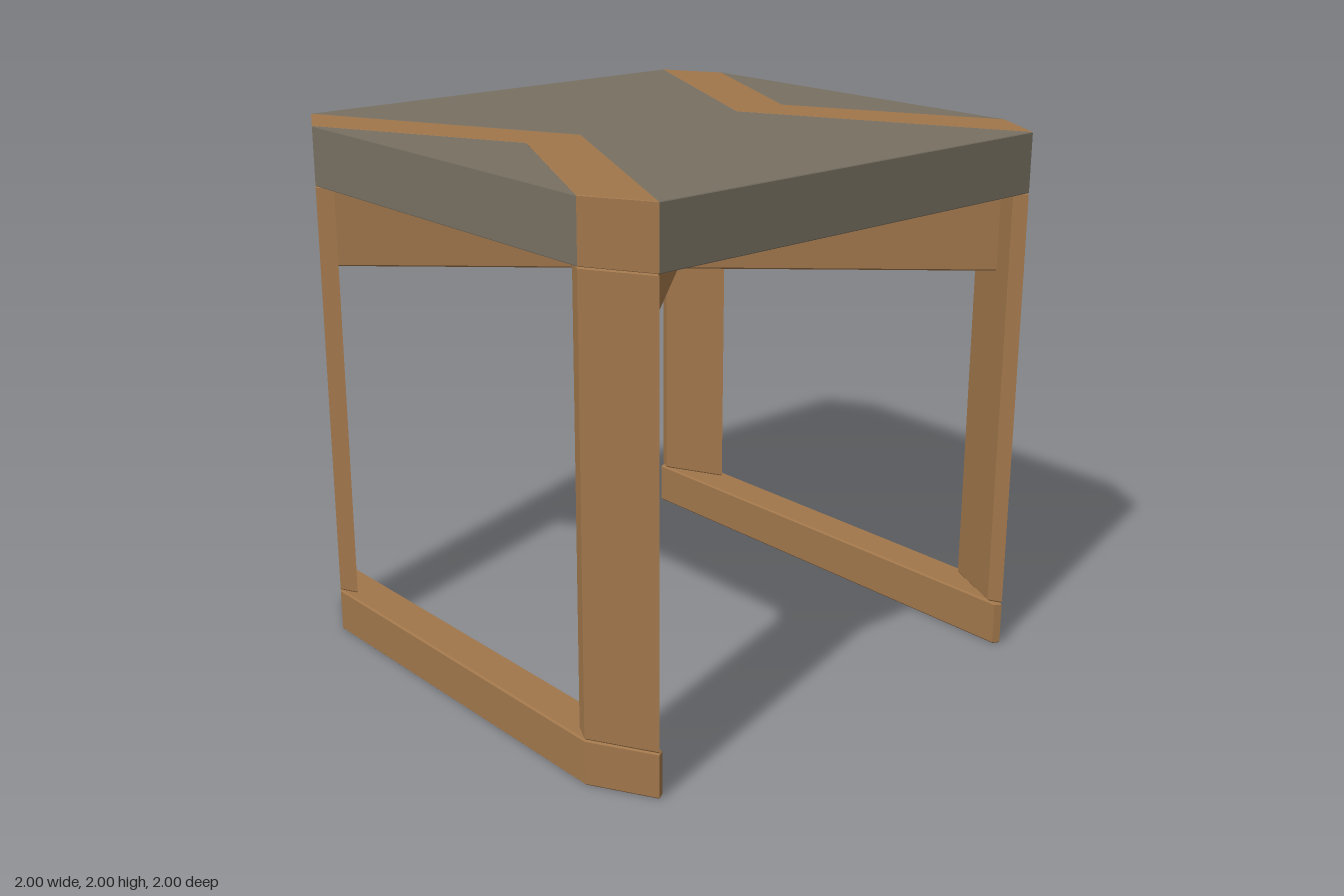
import * as THREE from 'three';

const wood = new THREE.MeshStandardMaterial({ color: 0xa0764b });
wood.name = 'wood';
const grey = new THREE.MeshStandardMaterial({ color: 0x777062 });
grey.name = 'grey seat';

const BEVEL = 0.006;

// Upright prism from a plan outline of [x, z] points, with lightly eased edges
function prism(name, plan, y0, y1, material, bevel = BEVEL) {
  const shape = new THREE.Shape(plan.map(([x, z]) => new THREE.Vector2(x, -z)));
  const geometry = new THREE.ExtrudeGeometry(shape, {
    depth: y1 - y0 - 2 * bevel,
    bevelEnabled: bevel > 0,
    bevelThickness: bevel,
    bevelSize: bevel,
    bevelOffset: -bevel,
    bevelSegments: 1,
  });
  geometry.rotateX(-Math.PI / 2);
  geometry.translate(0, y0 + bevel, 0);
  const mesh = new THREE.Mesh(geometry, material);
  mesh.name = name;
  return mesh;
}

const flip = (plan, sx, sz) => plan.map(([x, z]) => [x * sx, z * sz]);

export function createModel() {
  const model = new THREE.Group();
  model.name = 'stool';

  const runnerTop = 0.17, seatBottom = 1.78, seatTop = 2;

  // Plan outlines for the front left quarter or the front half
  const legPlan = [[0.77, 1], [1, 0.87], [0.95, 0.845], [0.7, 0.965]];
  const runnerPlan = [[-0.77, 1], [0.77, 1], [1, 0.87], [0.985, 0.845], [-0.985, 0.845], [-1, 0.87]];
  const bandPlan = [[-0.77, 1], [0, 0.61], [0.77, 1], [1, 0.87], [0, 0.375], [-1, 0.87]];
  const trianglePlan = [[-0.77, 1], [0.77, 1], [0, 0.61]];

  for (const sz of [1, -1]) {
    const end = sz > 0 ? 'front' : 'back';
    model.add(prism(end + 'Runner', flip(runnerPlan, 1, sz), 0, runnerTop, wood));
    // Chevron band set flush into the seat
    model.add(prism(end + 'SeatBand', flip(bandPlan, 1, sz), seatBottom, seatTop, wood, 0.002));
    model.add(prism(end + 'SeatTriangle', flip(trianglePlan, 1, sz), seatBottom, seatTop, grey, 0.003));
    for (const sx of [1, -1]) {
      const side = sx > 0 ? 'Left' : 'Right';
      model.add(prism(end + side + 'Leg', flip(legPlan, sx, sz), runnerTop, seatBottom, wood));
    }
  }

  // Main seat panel between the two bands
  const panelPlan = [[-1, 0.87], [0, 0.375], [1, 0.87], [1, -0.87], [0, -0.375], [-1, -0.87]];
  model.add(prism('seatPanel', panelPlan, seatBottom, seatTop, grey, 0.003));

  // Crossed beams joining opposite legs under the seat
  const ex = 0.83, ez = 0.91, half = 0.07;
  const length = Math.hypot(ex, ez);
  const nx = (-ez / length) * half, nz = (ex / length) * half;
  const beamPlan = [[ex + nx, ez + nz], [ex - nx, ez - nz], [-ex - nx, -ez - nz], [-ex + nx, -ez + nz]];
  for (const sx of [1, -1]) {
    model.add(prism(sx > 0 ? 'crossBeamA' : 'crossBeamB', flip(beamPlan, sx, 1), 1.47, seatBottom, wood));
  }

  return model;
}
